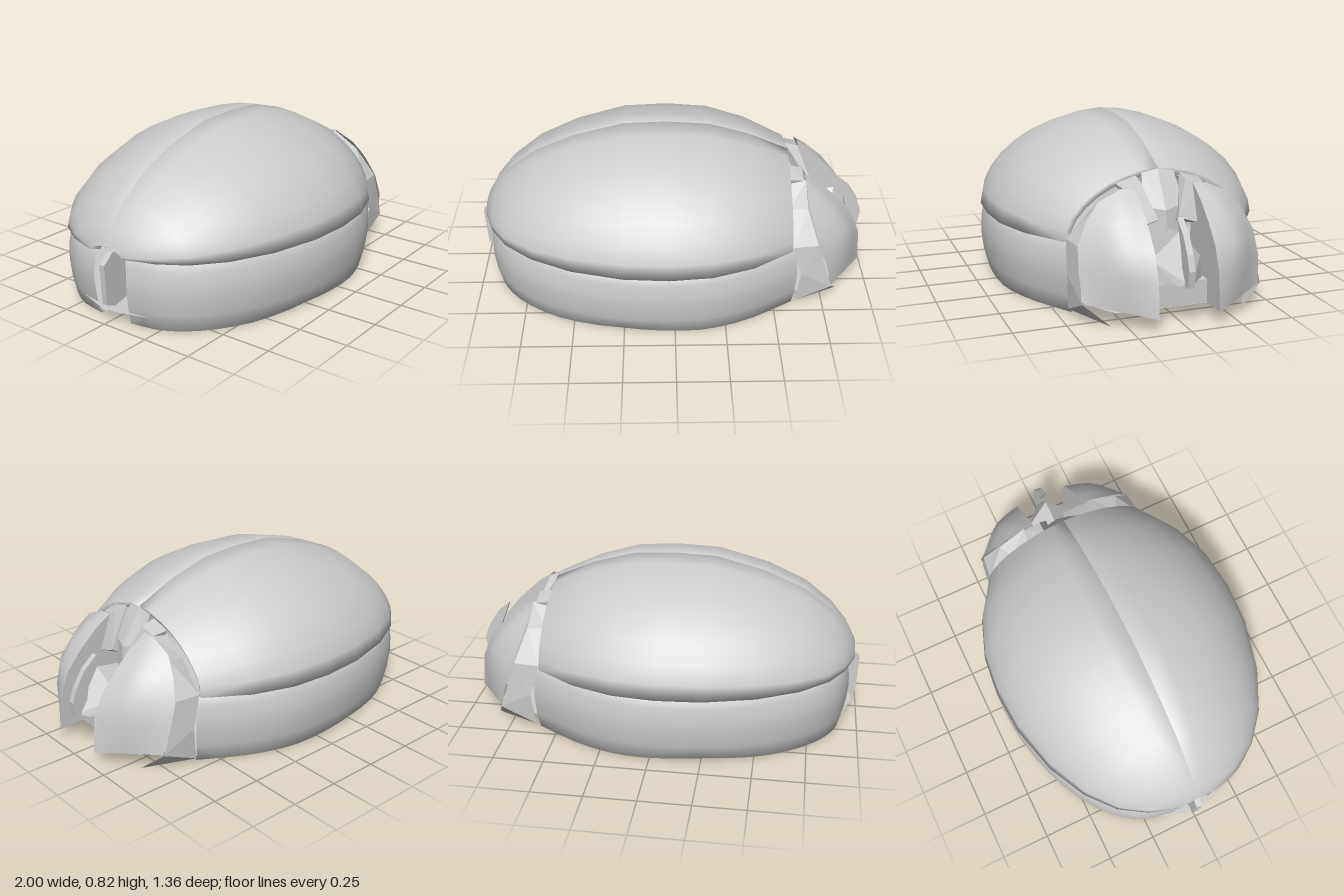
import * as THREE from 'three';
import { ConvexGeometry } from 'three/addons/geometries/ConvexGeometry.js';

const V = (x, y, z) => new THREE.Vector3(x, y, z);

// Half-outline of the body seen from above: [x, half width]
const OUTLINE = [[-0.97, 0.1], [-0.92, 0.25], [-0.84, 0.38], [-0.7, 0.5], [-0.5, 0.6], [-0.25, 0.665],
  [-0.03, 0.68], [0.18, 0.66], [0.38, 0.59], [0.58, 0.46]];
// Ridge height at the same stations
const RIDGE = [0.38, 0.47, 0.56, 0.665, 0.75, 0.815, 0.822, 0.808, 0.75, 0.66];

function material(flat) {
  return new THREE.MeshStandardMaterial({ color: 0xcccccc, flatShading: flat, side: THREE.DoubleSide });
}

// Surface through rows of points (all rows equally long)
function surface(name, rows, flat = false) {
  const n = rows[0].length, idx = [];
  for (let i = 0; i < rows.length - 1; i++) {
    for (let j = 0; j < n - 1; j++) {
      const a = i * n + j, b = a + n;
      idx.push(a, b, a + 1, b, b + 1, a + 1);
    }
  }
  const geo = new THREE.BufferGeometry().setFromPoints(rows.flat());
  geo.setIndex(idx);
  geo.computeVertexNormals();
  const mesh = new THREE.Mesh(geo, material(flat));
  mesh.name = name;
  return mesh;
}

function hull(name, pts) {
  const mesh = new THREE.Mesh(new ConvexGeometry(pts), material(true));
  mesh.name = name;
  return mesh;
}

// Pillowed wing case: rolled lower rim, domed panel, short wall down the middle seam
function wingCase(s) {
  const section = (x, w, h, k) => {
    const base = 0.345, rise = (h - base) * k;
    const row = [V(x, base + 0.01, s * w * 0.9 * k), V(x, base, s * w * k)];
    for (let i = 1; i <= 8; i++) {
      const a = (i / 8) * Math.PI / 2;
      const z = w * Math.pow(Math.max(Math.cos(a), 0), 1.1) * k;
      row.push(V(x, base + rise * Math.pow(Math.sin(a), 1.13), s * z));
    }
    row.push(V(x, base + rise * 0.88, 0));
    return row;
  };
  const rows = OUTLINE.map(([x, w], i) => section(x, w, RIDGE[i], 1));
  rows.unshift(section(-0.94, 0.08, 0.38, 0.8));
  rows.push(section(0.56, 0.46, 0.65, 0.92));
  return surface('wingCase', rows);
}

// Lower flank: a rounded strip swept round the outline, its bottom rolled in to the belly
function flank(s) {
  const path = OUTLINE.map(([x, w]) => V(x, 0, w));
  path[0].x = -0.95;
  path[path.length - 1].set(0.61, 0, 0.455);
  const curve = new THREE.CatmullRomCurve3(path);
  // [inward offset, height]
  const profile = [[0.07, 0.35], [0.03, 0.35], [0.012, 0.3], [0.002, 0.24], [0, 0.18], [0.01, 0.09],
    [0.03, 0.005], [0.065, 0.005], [0.09, 0.065]];
  const rows = [];
  for (let i = 0; i <= 20; i++) {
    const t = i / 20, p = curve.getPoint(t), d = curve.getTangent(t);
    rows.push(profile.map(([o, y]) => {
      const rise = y < 0.05 ? 0.015 * Math.max(0, 1 - Math.abs(p.x + 0.25) * 3) : 0;
      return V(p.x + d.z * o, y + rise, s * (p.z - d.x * o));
    }));
  }
  return surface('flank', rows);
}

// Curved eye cover, inner edge projecting furthest forward
function eyeCover(s) {
  // [y, inner x, middle x, middle z, outer x, outer z]
  const levels = [[0.59, 0.66, 0.66, 0.18, 0.66, 0.21], [0.54, 0.74, 0.725, 0.23, 0.66, 0.32],
    [0.46, 0.83, 0.8, 0.27, 0.685, 0.385], [0.36, 0.915, 0.865, 0.29, 0.715, 0.435],
    [0.24, 0.965, 0.895, 0.29, 0.76, 0.445], [0.07, 0.98, 0.89, 0.28, 0.79, 0.43]];
  const rows = levels.map(([y, xi, xm, zm, xo, zo]) => {
    const yo = Math.max(y, 0.11);
    const c = new THREE.CatmullRomCurve3([V(xi, y, s * 0.145), V(xm, (y + yo) / 2, s * zm), V(xo, yo, s * zo)]);
    return c.getPoints(8);
  });
  const group = new THREE.Group();
  group.name = 'eye';
  group.add(surface('eyeCover', rows));
  // Flat inner wall
  group.add(surface('eyeInnerWall', levels.map(([y, xi]) => [V(0.64, y, s * 0.145), V(xi, y, s * 0.145)]), true));
  return group;
}

// Angular collar joining the body to the eye cover
function collar(s) {
  const back = [V(0.57, 0.61, s * 0.15), V(0.575, 0.5, s * 0.31), V(0.585, 0.36, s * 0.45), V(0.63, 0.2, s * 0.46),
    V(0.61, 0.03, s * 0.45)];
  const front = [V(0.66, 0.59, s * 0.2), V(0.66, 0.51, s * 0.34), V(0.71, 0.36, s * 0.435), V(0.79, 0.11, s * 0.44),
    V(0.84, 0.01, s * 0.32)];
  return surface('collar', [back, front], true);
}

// Flat underside reaching forward under the head
function belly() {
  const half = OUTLINE.map(([x, w]) => [x, w - 0.05]).concat([[0.62, 0.42], [0.83, 0.3], [0.84, 0.15]]);
  return surface('belly', half.map(([x, z]) => [V(x, 0.068, -z), V(x, 0.068, z)]), true);
}

// Thin upright blade cut from a side profile
function blade(name, pts, thickness) {
  const shape = new THREE.Shape(pts.map(([x, y]) => new THREE.Vector2(x, y)));
  const geo = new THREE.ExtrudeGeometry(shape, { depth: thickness, bevelEnabled: false });
  geo.translate(0, 0, -thickness / 2);
  const mesh = new THREE.Mesh(geo, material(true));
  mesh.name = name;
  return mesh;
}

export function createModel() {
  const model = new THREE.Group();
  model.name = 'beetleBody';

  for (const s of [1, -1]) {
    model.add(wingCase(s), flank(s), eyeCover(s), collar(s));
    // Slanted brow strut beside the forehead
    model.add(hull('browStrut', [
      V(0.58, 0.63, s * 0.11), V(0.58, 0.6, s * 0.21), V(0.65, 0.61, s * 0.11), V(0.65, 0.59, s * 0.2),
      V(0.72, 0.45, s * 0.05), V(0.72, 0.42, s * 0.14), V(0.62, 0.4, s * 0.05), V(0.62, 0.4, s * 0.14)]));
  }
  model.add(belly());

  // Forehead, sloping down from the front of the wing cases
  model.add(surface('forehead', [
    [V(0.58, 0.64, -0.08), V(0.58, 0.655, 0), V(0.58, 0.64, 0.08)],
    [V(0.66, 0.5, -0.1), V(0.69, 0.48, 0), V(0.66, 0.5, 0.1)],
    [V(0.68, 0.18, -0.145), V(0.71, 0.18, 0), V(0.68, 0.18, 0.145)]], true));

  // Faceted muzzle between the eyes, and the jaw bar below it
  const muzzle = [V(0.72, 0.4, 0), V(0.84, 0.42, 0), V(0.97, 0.21, 0)];
  for (const s of [1, -1]) {
    muzzle.push(V(0.72, 0.2, s * 0.12), V(0.83, 0.19, s * 0.12), V(0.81, 0.29, s * 0.12), V(0.93, 0.2, s * 0.04));
  }
  model.add(hull('muzzle', muzzle));
  const jaw = new THREE.Mesh(new THREE.BoxGeometry(0.24, 0.11, 0.29), material(true));
  jaw.name = 'jawBar';
  jaw.position.set(0.72, 0.125, 0);
  model.add(jaw);

  // Central horn and tail blade
  model.add(blade('horn', [[0.85, 0.49], [0.92, 0.43], [0.97, 0.35], [0.995, 0.28], [0.985, 0.2], [0.93, 0.2],
    [0.9, 0.36]], 0.03));
  model.add(blade('tailBlade', [[-1, 0.3], [-0.94, 0.35], [-0.86, 0.35], [-0.86, 0.1], [-0.94, 0.08],
    [-0.99, 0.1]], 0.03));
  return model;
}
